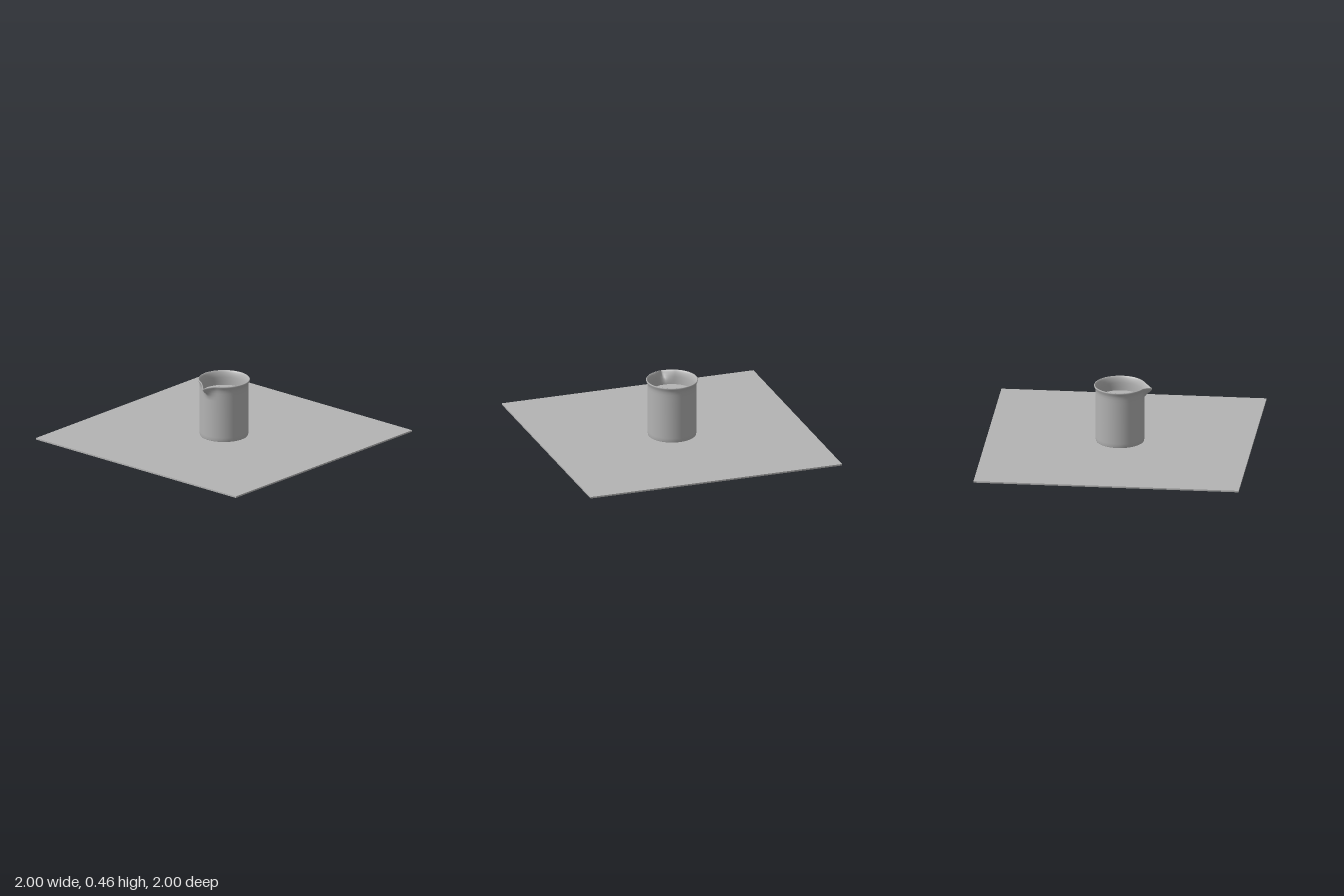
import * as THREE from 'three';
import { mergeVertices } from 'three/addons/utils/BufferGeometryUtils.js';

const grey = new THREE.MeshStandardMaterial({ color: 0xb4b4b4 });
grey.name = 'neutral grey';

function addPart(parent, name, geometry, y = 0) {
  const mesh = new THREE.Mesh(geometry, grey);
  mesh.name = name;
  mesh.position.y = y;
  parent.add(mesh);
}

// Closed glass wall: outside going up, rolled rim, inside going down
function glassGeometry() {
  const profile = [
    [0, 0], [0.155, 0], [0.168, 0.003], [0.177, 0.011], [0.182, 0.024], [0.183, 0.05],
    [0.183, 0.2], [0.183, 0.34], [0.183, 0.37], [0.183, 0.4], [0.184, 0.42], [0.188, 0.437],
    [0.194, 0.449], [0.195, 0.456], [0.192, 0.46], [0.187, 0.459], [0.181, 0.447],
    [0.175, 0.43], [0.172, 0.41], [0.171, 0.38], [0.171, 0.34], [0.171, 0.2], [0.171, 0.04],
    [0.165, 0.026], [0.15, 0.02], [0, 0.02],
  ].map(([r, y]) => new THREE.Vector2(r, y));
  const lathe = new THREE.LatheGeometry(profile, 96);
  const p = lathe.attributes.position;

  // Pull the wall outward into a narrow pouring lip on the -x side
  for (let i = 0; i < p.count; i++) {
    const x = p.getX(i), y = p.getY(i), z = p.getZ(i);
    const angle = Math.abs(Math.atan2(z, -x));
    const rise = THREE.MathUtils.smoothstep(y, 0.36, 0.45);
    const pull = rise * Math.pow(Math.max(0, 1 - angle / 0.42), 1.4);
    p.setXYZ(i, x - 0.048 * pull, y - 0.02 * pull, z * (1 - 0.25 * pull));
  }
  lathe.deleteAttribute('uv');
  lathe.deleteAttribute('normal');
  const smooth = mergeVertices(lathe, 1e-5);
  smooth.computeVertexNormals();
  return smooth;
}

export function createModel() {
  const model = new THREE.Group();
  model.name = 'beakerOnBoard';

  addPart(model, 'board', new THREE.BoxGeometry(2, 0.012, 2), 0.012);
  addPart(model, 'beakerGlass', glassGeometry());
  // Contents, filled to just below the neck
  addPart(model, 'liquid', new THREE.CylinderGeometry(0.1715, 0.1715, 0.33, 96), 0.185);

  return model;
}
